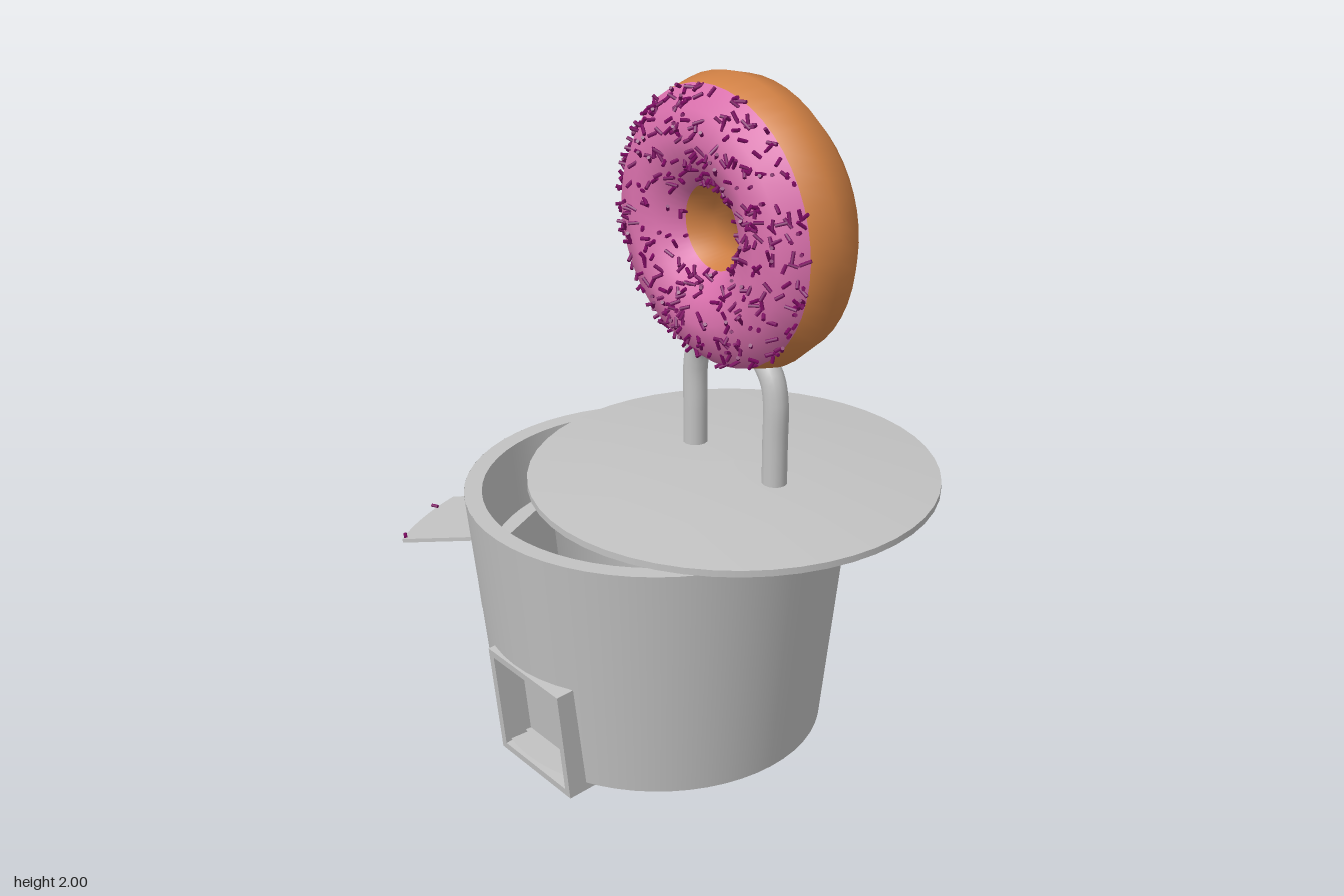
import * as THREE from 'three';
import { mergeGeometries } from 'three/addons/utils/BufferGeometryUtils.js';

const mat = (name, color, side = THREE.FrontSide) => {
  const m = new THREE.MeshStandardMaterial({ color, side });
  m.name = name;
  return m;
};

export function createModel() {
  const root = new THREE.Group();
  root.name = 'donutPot';
  const grey = mat('grey', 0xc2c2c2, THREE.DoubleSide);
  const dough = mat('dough', 0xd08044);
  const icing = mat('icing', 0xd970ac);
  const purple = mat('sprinklePurple', 0x7d0a62);

  const add = (parent, name, geometry, material, x = 0, y = 0, z = 0) => {
    const m = new THREE.Mesh(geometry, material);
    m.name = name;
    m.position.set(x, y, z);
    parent.add(m);
    return m;
  };

  // ---- Pot: tapered walls with two openings ----
  const Y0 = 0.035, Y1 = 0.775, R0 = 0.49, R1 = 0.567, WALL = 0.052;
  const radius = y => R0 + (R1 - R0) * (y - Y0) / (Y1 - Y0);
  const tilt = Math.atan((R1 - R0) / (Y1 - Y0));
  const sideYaw = -1.08;
  const pot = new THREE.Group();
  pot.name = 'pot';
  pot.position.set(0.02, 0, 0.11);
  root.add(pot);

  const openings = [
    { yaw: sideYaw, left: -0.142, right: 0.142, y0: 0.335, y1: 0.55 },
    { yaw: 0, left: -0.115, right: 0.21, y0: Y0, y1: 0.34 },
  ];
  const wall = (name, inset) => {
    const parts = [];
    const patch = (a, b, y0, y1) => {
      if (y1 - y0 < 0.001) return;
      const g = new THREE.CylinderGeometry(radius(y1) - inset, radius(y0) - inset, y1 - y0,
        Math.max(2, Math.ceil((b - a) / 0.11)), 1, true, a, b - a);
      parts.push(g.translate(0, (y0 + y1) / 2, 0));
    };
    const spans = openings.map(o => {
      const r = radius((o.y0 + o.y1) / 2) - inset;
      return { ...o, a: o.yaw + Math.asin(o.left / r), b: o.yaw + Math.asin(o.right / r) };
    });
    spans.forEach((s, i) => {
      patch(s.a, s.b, Y0, s.y0);
      patch(s.a, s.b, s.y1, Y1);
      const next = i + 1 < spans.length ? spans[i + 1].a : spans[0].a + Math.PI * 2;
      patch(s.b, next, Y0, Y1);
    });
    add(pot, name, mergeGeometries(parts), grey);
  };
  wall('outerWall', 0);
  wall('innerWall', WALL);
  add(pot, 'rim', new THREE.RingGeometry(R1 - WALL, R1, 56).rotateX(-Math.PI / 2), grey, 0, Y1, 0);
  add(pot, 'base', new THREE.CircleGeometry(R0, 56).rotateX(Math.PI / 2), grey, 0, Y0, 0);
  add(pot, 'innerFloor', new THREE.CircleGeometry(R0 - WALL, 56).rotateX(-Math.PI / 2), grey, 0, Y0 + 0.01, 0);

  // ---- Recessed boxes set into the wall, leaning with it ----
  const recess = (name, x, y, z, yaw, w, h, t, depth, panelDepth) => {
    const g = new THREE.Group();
    g.name = name;
    g.position.set(x, y, z);
    g.rotation.set(tilt, yaw, 0, 'YXZ');
    const rect = (path, i) => path.moveTo(-w / 2 + i, i).lineTo(w / 2 - i, i)
      .lineTo(w / 2 - i, h - i).lineTo(-w / 2 + i, h - i).closePath();
    const shape = rect(new THREE.Shape(), 0);
    shape.holes.push(rect(new THREE.Path(), t));
    add(g, name + 'Frame', new THREE.ExtrudeGeometry(shape, { depth, bevelEnabled: false }), grey, 0, 0, -depth);
    add(g, name + 'Panel', new THREE.BoxGeometry(w - 2 * t, h - 2 * t, depth - panelDepth), grey,
      0, h / 2, -(depth + panelDepth) / 2);
    pot.add(g);
  };
  recess('frontHatch', 0.0475, 0.004, 0.494, 0, 0.345, 0.352, 0.022, 0.14, 0.09);
  const sx = Math.sin(sideYaw), sz = Math.cos(sideYaw);
  recess('sideHatch', sx * 0.522, 0.322, sz * 0.522, sideYaw, 0.31, 0.24, 0.022, 0.11, 0.09);

  // ---- Sloping tray with a bowed outer edge ----
  const tray = new THREE.Shape();
  tray.moveTo(-0.158, 0).lineTo(0.158, 0).lineTo(0.158, 0.262);
  tray.quadraticCurveTo(0, 0.3, -0.158, 0.262);
  tray.closePath();
  const trayGeo = new THREE.ExtrudeGeometry(tray, { depth: 0.012, bevelEnabled: false, curveSegments: 8 });
  const flap = add(pot, 'sideTray', trayGeo.rotateX(Math.PI / 2), grey, sx * 0.535, 0.562, sz * 0.535);
  flap.rotation.set(0.235, sideYaw, 0, 'YXZ');

  // ---- Lid, set off centre ----
  const lid = new THREE.Group();
  lid.name = 'lid';
  lid.position.set(0.15, 0, -0.07);
  root.add(lid);
  add(lid, 'lidRim', new THREE.CylinderGeometry(0.605, 0.605, 0.02, 48), grey, 0, 0.8, 0);
  const dome = [[0.605, 0.81], [0.4, 0.832], [0.2, 0.844], [0, 0.848]].map(p => new THREE.Vector2(...p));
  add(lid, 'lidDome', new THREE.LatheGeometry(dome, 48), grey);

  // ---- Bent posts holding the donut ----
  for (const s of [-1, 1]) {
    const path = new THREE.CatmullRomCurve3(
      [[0.18, 0.83], [0.18, 0.97], [0.18, 1.09], [0.165, 1.155], [0.13, 1.2], [0.08, 1.24]]
        .map(([x, y]) => new THREE.Vector3(s * x, y, 0)));
    add(lid, s > 0 ? 'leftPost' : 'rightPost', new THREE.TubeGeometry(path, 24, 0.037, 14), grey);
  }

  // ---- Donut: the front third of the tube is icing ----
  const MAJOR = 0.262, TUBE = 0.16, TURNS = 48;
  const donut = new THREE.Group();
  donut.name = 'donut';
  donut.position.set(0.15, 1.58, -0.07);
  donut.scale.z = 1.03;
  root.add(donut);
  const ring = new THREE.TorusGeometry(MAJOR, TUBE, 12, TURNS);
  const band = TURNS * 6;
  ring.clearGroups();
  ring.addGroup(0, band, 0);
  ring.addGroup(band, band * 4, 1);
  ring.addGroup(band * 5, band * 7, 0);
  add(donut, 'icedRing', ring, [dough, icing]);

  // ---- Sprinkles scattered over the icing ----
  let seed = 7;
  const rand = () => (seed = (seed * 16807) % 2147483647) / 2147483647;
  const up = new THREE.Vector3(0, 1, 0);
  const sprinkle = (pos, dir, len) => new THREE.CylinderGeometry(0.0055, 0.0055, len, 6)
    .applyQuaternion(new THREE.Quaternion().setFromUnitVectors(up, dir.normalize()))
    .translate(pos.x, pos.y, pos.z);
  const bits = [];
  while (bits.length < 420) {
    const u = rand() * Math.PI * 2, v = Math.PI * (0.17 + 0.66 * rand());
    // keep the spread even by area
    if (rand() > (MAJOR + TUBE * Math.cos(v)) / (MAJOR + TUBE)) continue;
    const n = new THREE.Vector3(Math.cos(v) * Math.cos(u), Math.cos(v) * Math.sin(u), Math.sin(v));
    const pos = new THREE.Vector3(MAJOR * Math.cos(u), MAJOR * Math.sin(u), 0).addScaledVector(n, TUBE);
    const dir = new THREE.Vector3(rand() - 0.5, rand() - 0.5, rand() - 0.5);
    bits.push(sprinkle(pos, dir, 0.026 + 0.01 * rand()));
  }
  add(donut, 'sprinkles', mergeGeometries(bits), purple);

  // ---- Two stray sprinkles on the tray ----
  const strays = [[-0.72, 0.508, 0.43], [-0.61, 0.505, 0.605]].map(([x, y, z], i) =>
    sprinkle(new THREE.Vector3(x, y, z), new THREE.Vector3(1, 0, i - 0.5), 0.022));
  add(root, 'straySprinkles', mergeGeometries(strays), purple);

  return root;
}
